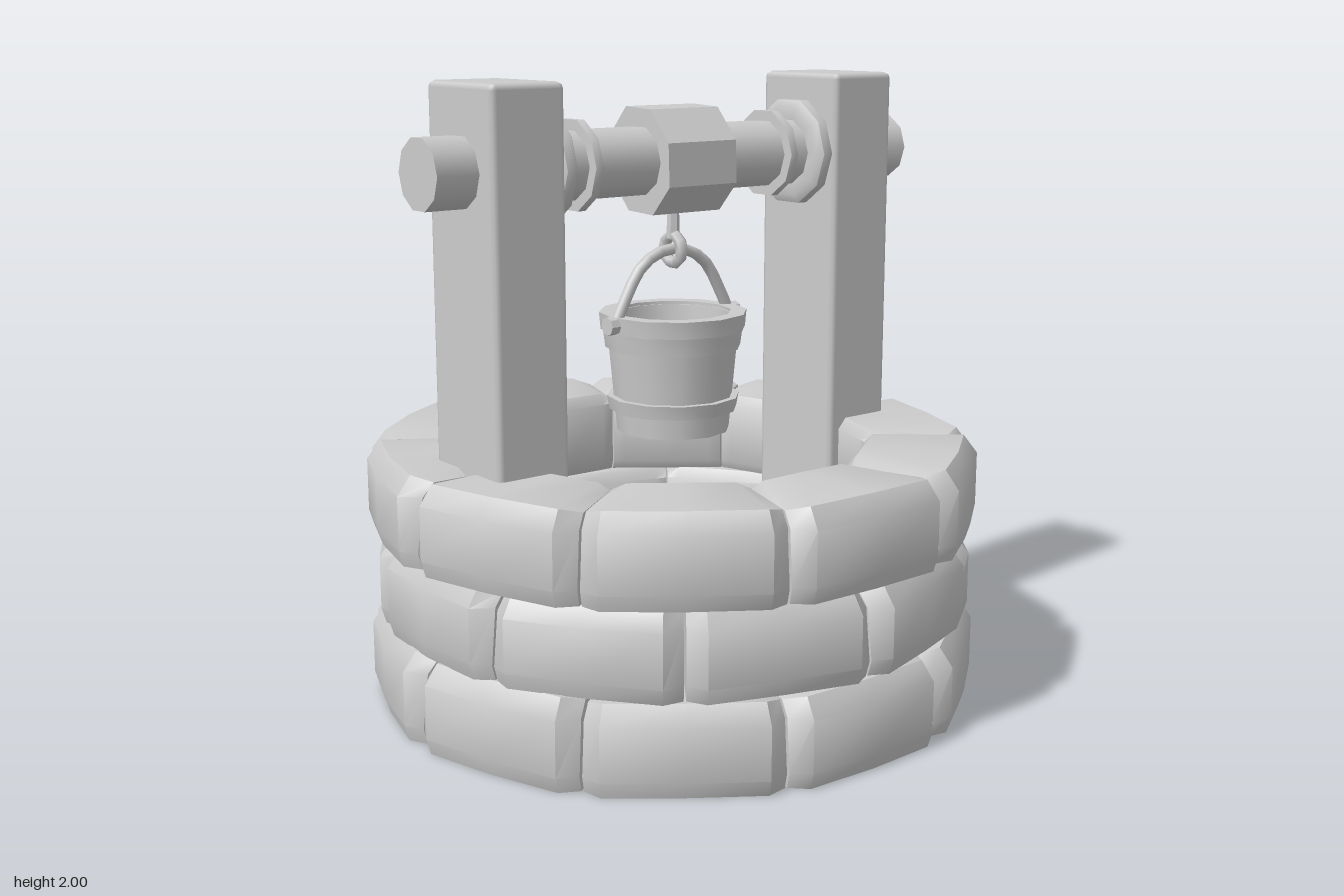
import * as THREE from 'three';
import { toCreasedNormals } from 'three/addons/utils/BufferGeometryUtils.js';
import { RoundedBoxGeometry } from 'three/addons/geometries/RoundedBoxGeometry.js';

const material = new THREE.MeshStandardMaterial({ color: 0xcccccc });

function addMesh(parent, name, geometry, crease = 0.75) {
  const mesh = new THREE.Mesh(crease ? toCreasedNormals(geometry, crease) : geometry, material);
  mesh.name = name;
  parent.add(mesh);
  return mesh;
}

// Small repeatable irregularity in the range -1..1
const wobble = (n) => Math.sin(n * 12.9898 + 4.1) * Math.cos(n * 7.233);

const lathe = (points, sides) =>
  new THREE.LatheGeometry(points.map(([r, y]) => new THREE.Vector2(r, y)), sides);

// Rectangular hoop: inner radius, outer radius at bottom and top, y range
const hoop = (inner, low, high, y0, y1, sides) =>
  lathe([[inner, y0], [low, y0], [high, y1], [inner, y1], [inner, y0]], sides);

// One wedge-shaped block: a chamfered section swept along a short arc
function stoneGeometry(angle, y, height, scale, seed) {
  const half = Math.PI / 10 - 0.004;
  const columns = [-1, -0.8, 0, 0.8, 1];
  const positions = [], index = [];
  const h = height + 0.008 * wobble(seed);
  const bump = 0.008 * wobble(seed + 50);
  let count = 0;
  for (const u of columns) {
    const end = Math.abs(u) === 1;
    const outer = (u === 0 ? 0.98 + bump : end ? 0.965 : 0.998) * scale;
    const inner = 0.605 / Math.cos(u * half) + (u === 0 ? bump : 0);
    const drop = end ? 0.018 : 0;
    const section = [
      [inner + 0.015, 0], [outer - 0.015, 0], [outer, 0.05],
      [outer - (end ? 0.02 : 0), h - 0.06], [outer - (end ? 0.06 : 0.045), h - drop],
      [inner + 0.03, h - drop], [inner, h - 0.035], [inner, 0.03],
    ];
    count = section.length;
    const t = angle + u * half;
    for (const [r, v] of section) positions.push(r * Math.sin(t), y + v, r * Math.cos(t));
  }
  const last = (columns.length - 1) * count;
  for (let i = 0; i < columns.length - 1; i++) {
    for (let j = 0; j < count; j++) {
      const k = (j + 1) % count;
      const a = i * count + j, b = a + count, c = (i + 1) * count + k, d = i * count + k;
      index.push(a, b, c, a, c, d);
    }
  }
  for (let j = 1; j < count - 1; j++) {
    index.push(0, j, j + 1, last, last + j + 1, last + j);
  }
  const geometry = new THREE.BufferGeometry();
  geometry.setAttribute('position', new THREE.Float32BufferAttribute(positions, 3));
  geometry.setIndex(index);
  return geometry;
}

function createWall() {
  const wall = new THREE.Group();
  wall.name = 'stoneWall';
  const courses = [
    { y: 0, height: 0.28, shift: 0, scale: 1 },
    { y: 0.28, height: 0.275, shift: 0.5, scale: 0.975 },
    { y: 0.56, height: 0.28, shift: 0, scale: 1 },
  ];
  courses.forEach(({ y, height, shift, scale }, row) => {
    const course = new THREE.Group();
    course.name = `stoneCourse${row + 1}`;
    for (let i = 0; i < 10; i++) {
      const angle = ((i + shift) * Math.PI) / 5;
      addMesh(course, 'stone', stoneGeometry(angle, y, height, scale, row * 10 + i));
    }
    wall.add(course);
  });
  return wall;
}

function createWindlass() {
  const windlass = new THREE.Group();
  windlass.name = 'windlass';
  // Parts are turned about y, then laid along x
  addMesh(windlass, 'axle', new THREE.CylinderGeometry(0.11, 0.11, 1.86, 10));
  const drum = addMesh(windlass, 'ropeDrum', new THREE.CylinderGeometry(0.18, 0.18, 0.27, 8));
  drum.rotation.y = Math.PI / 8;
  drum.scale.set(1, 1, 0.9);
  for (const side of [-1, 1]) {
    const collar = addMesh(windlass, 'collar',
      lathe([[0.1, -0.03], [0.15, -0.035], [0.178, -0.015], [0.178, 0.02], [0.15, 0.035], [0.1, 0.03]], 10));
    collar.position.y = side * 0.51;
    const ring = addMesh(windlass, 'thinRing', hoop(0.1, 0.145, 0.145, -0.014, 0.014, 10));
    ring.position.y = side * 0.39;
  }
  windlass.rotation.z = Math.PI / 2;
  windlass.position.y = 1.74;
  return windlass;
}

function createBucket() {
  const bucket = new THREE.Group();
  bucket.name = 'bucket';
  addMesh(bucket, 'bucketBody',
    lathe([[0, 0.86], [0.185, 0.86], [0.22, 1.24], [0.185, 1.24], [0.16, 0.9], [0, 0.9]], 12));
  addMesh(bucket, 'lowerBand', hoop(0.18, 0.21, 0.218, 0.93, 0.975, 12));
  addMesh(bucket, 'upperBand', hoop(0.2, 0.222, 0.23, 1.135, 1.195, 12));
  addMesh(bucket, 'rim', hoop(0.19, 0.237, 0.242, 1.195, 1.25, 12));

  // Bail handle with a peg at each end
  const path = [[-0.235, 1.22], [-0.2, 1.29], [-0.13, 1.4], [-0.05, 1.445], [0.05, 1.445],
    [0.13, 1.4], [0.2, 1.29], [0.235, 1.22]].map(([x, y]) => new THREE.Vector3(x, y, 0));
  addMesh(bucket, 'handle',
    new THREE.TubeGeometry(new THREE.CatmullRomCurve3(path), 14, 0.019, 6), 0);
  for (const side of [-1, 1]) {
    const peg = addMesh(bucket, 'handlePeg', new THREE.CylinderGeometry(0.03, 0.03, 0.05, 8));
    peg.rotation.z = Math.PI / 2;
    peg.position.set(side * 0.24, 1.225, 0);
  }

  // Ring and stem that hang the handle from the drum
  const link = addMesh(bucket, 'hangingRing', new THREE.TorusGeometry(0.045, 0.02, 6, 10), 0);
  link.rotation.y = Math.PI / 2;
  link.position.y = 1.45;
  const stem = addMesh(bucket, 'ropeEnd', new THREE.CylinderGeometry(0.018, 0.022, 0.13, 6));
  stem.position.y = 1.55;
  return bucket;
}

export function createModel() {
  const well = new THREE.Group();
  well.name = 'well';
  well.add(createWall());

  // Posts run down through the wall to the ground
  for (const side of [-1, 1]) {
    const post = addMesh(well, 'post', new RoundedBoxGeometry(0.255, 1.995, 0.36, 1, 0.02), 0);
    post.position.set(side * 0.663, 1.0025, 0);
  }

  well.add(createWindlass(), createBucket());
  return well;
}
